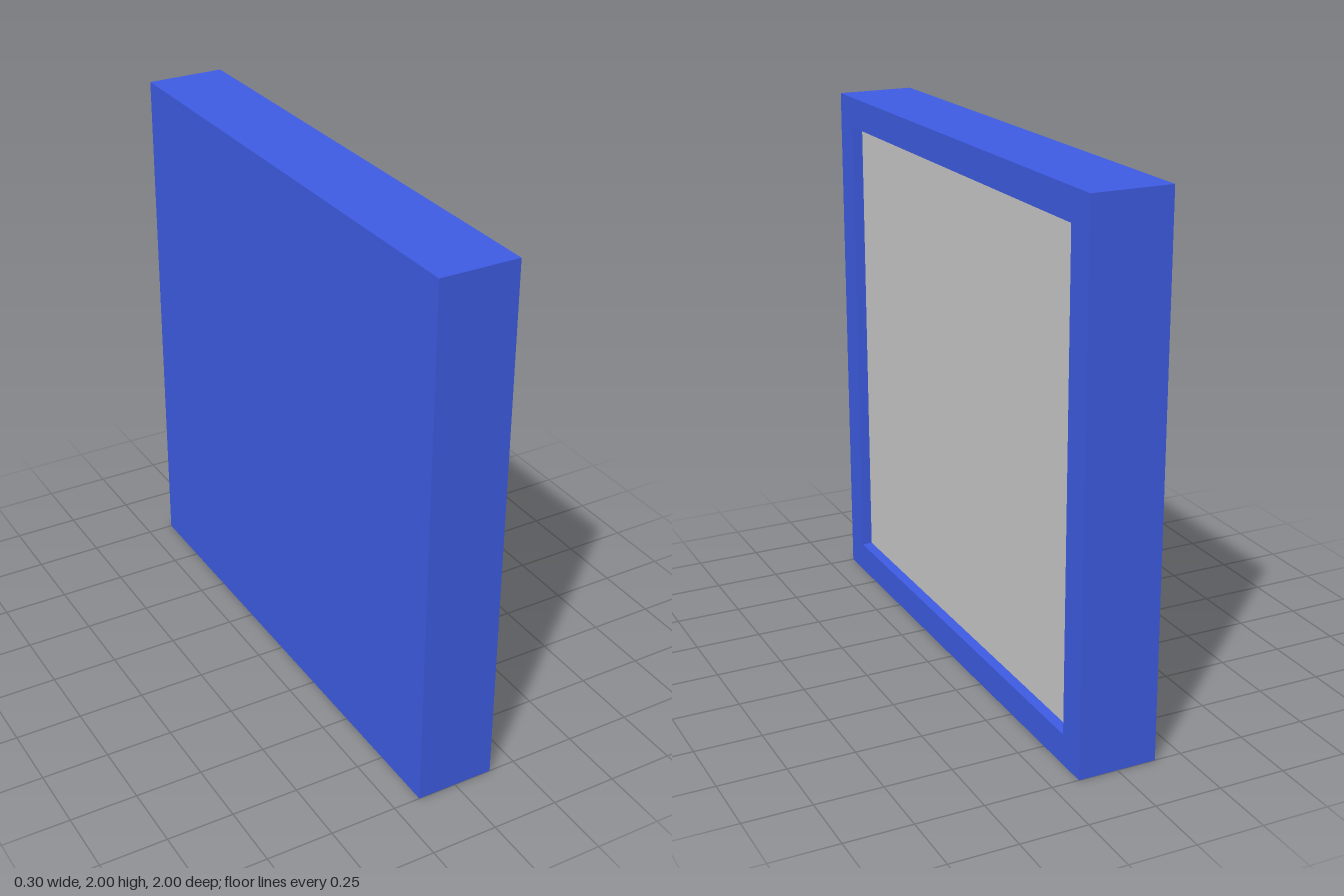
import * as THREE from 'three';

const SIZE = 2, DEPTH = 0.296, OPENING = 1.77, RECESS = 0.04, PANEL = 0.02;

function squarePath(path, size) {
  const h = size / 2;
  path.moveTo(-h, -h);
  path.lineTo(h, -h);
  path.lineTo(h, h);
  path.lineTo(-h, h);
  path.closePath();
  return path;
}

export function createModel() {
  const group = new THREE.Group();
  group.name = 'framedPanel';
  const blue = new THREE.MeshStandardMaterial({ color: 0x3f5de6 });
  const grey = new THREE.MeshStandardMaterial({ color: 0xcccccc });

  const add = (name, geometry, material, x) => {
    const mesh = new THREE.Mesh(geometry, material);
    mesh.name = name;
    mesh.position.set(x, SIZE / 2, 0);
    group.add(mesh);
  };

  // Square frame, extruded and turned so its opening faces +x
  const outline = squarePath(new THREE.Shape(), SIZE);
  outline.holes.push(squarePath(new THREE.Path(), OPENING));
  const frame = new THREE.ExtrudeGeometry(outline, { depth: DEPTH, bevelEnabled: false });
  frame.rotateY(Math.PI / 2);
  add('frame', frame, blue, -DEPTH / 2);

  // Solid body closing the back, flush with the frame
  const bodyDepth = DEPTH - RECESS - PANEL;
  add('backBody', new THREE.BoxGeometry(bodyDepth, OPENING, OPENING), blue, (bodyDepth - DEPTH) / 2);

  // Recessed grey panel
  add('panel', new THREE.BoxGeometry(PANEL, OPENING, OPENING), grey, DEPTH / 2 - RECESS - PANEL / 2);

  return group;
}
